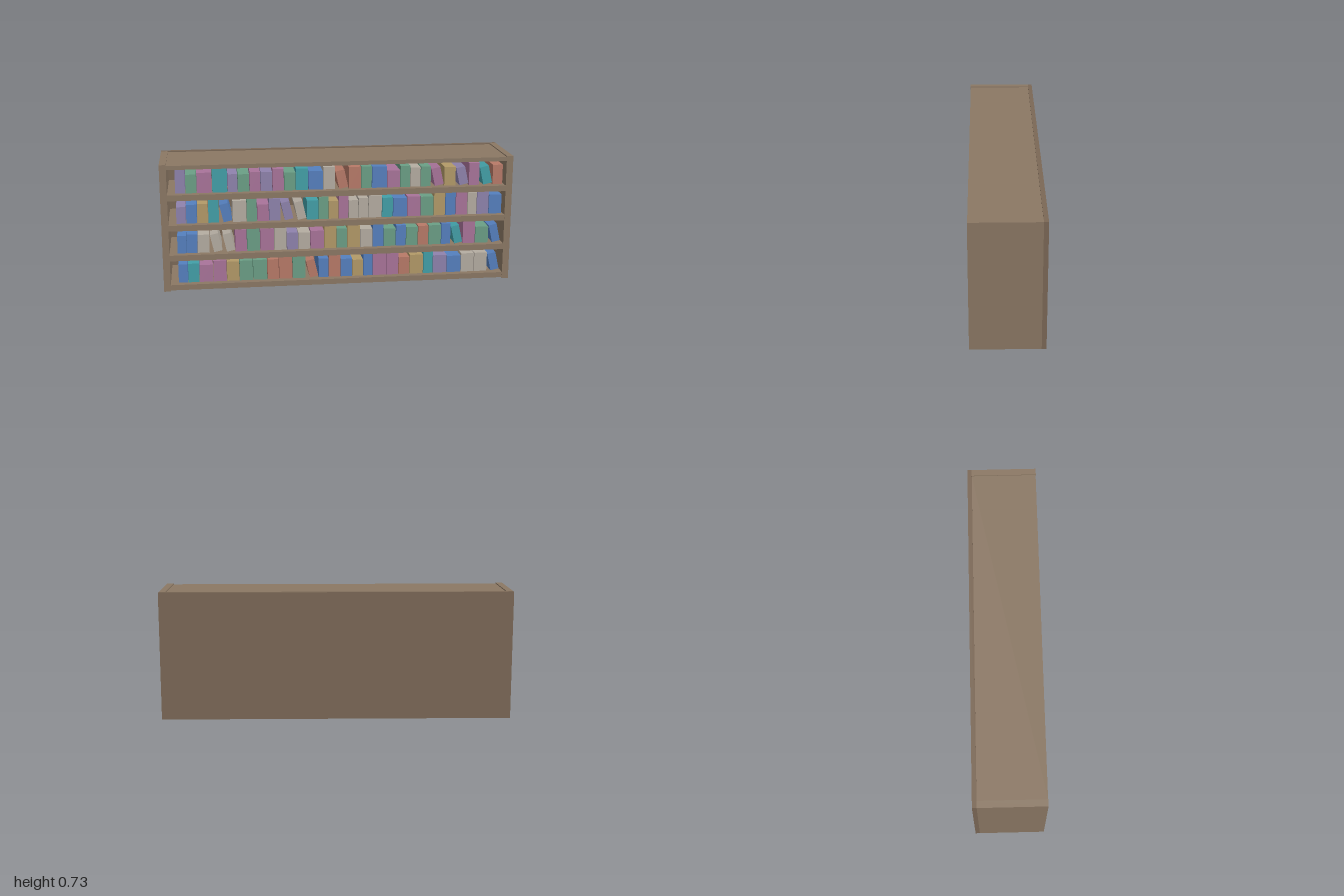
import * as THREE from 'three';

const LEAN = 0.22; // tilt of a leaning book
const BOOK_FRONT = 0.16, BOOK_DEPTH = 0.24, BOOK_GAP = 0.003;
const ROW_START = -0.917, ROW_END = 0.955;
const SHELF_PITCH = 0.1743, FIRST_FLOOR = 0.037;

const wood = new THREE.MeshStandardMaterial({ color: 0x8b7864 });
const backWood = new THREE.MeshStandardMaterial({ color: 0x7b6856 });
const covers = {};
for (const [key, color] of Object.entries({
  u: 0x8f83ad, g: 0x6b9f86, p: 0xa9749a, t: 0x42a0a8,
  b: 0x5580bf, c: 0xb5ada2, r: 0xb87a68, y: 0xb39a68,
})) covers[key] = new THREE.MeshStandardMaterial({ color });

// Cover colours of each row from the bottom up; a capital marks a leaning book
const rows = [
  'btppyggrrgRbrbybpprytubccB',
  'bbcCCpgpcucpygycbgbgrgbTpgB',
  'ubytBcgpuUCtgypccctbpgybpcub',
  'ugptugpupgtbcRrgbpgcgPyUpTr',
];

// Small seeded generator for the varied book sizes
function seeded(seed) {
  let state = seed;
  return (min, max) => {
    state = (state * 16807) % 2147483647;
    return min + (max - min) * (state / 2147483647);
  };
}

// Box given by its minimum and maximum corners
function board(name, min, max, material = wood) {
  const size = max.map((v, i) => v - min[i]);
  const mesh = new THREE.Mesh(new THREE.BoxGeometry(...size), material);
  mesh.position.set(...min.map((v, i) => v + size[i] / 2));
  mesh.name = name;
  return mesh;
}

// Book filling a slot of the given span and height, upright or leaning to -x
function book(material, leaning, x, floor, span, height) {
  const a = leaning ? LEAN : 0;
  const c = Math.cos(a), s = Math.sin(a), k = Math.cos(2 * a);
  const w = (span * c - height * s) / k;
  const h = (height * c - span * s) / k;
  const mesh = new THREE.Mesh(new THREE.BoxGeometry(w, h, BOOK_DEPTH), material);
  mesh.position.set(x + span / 2, floor + height / 2, BOOK_FRONT - BOOK_DEPTH / 2);
  mesh.rotation.z = a;
  mesh.name = leaning ? 'leaningBook' : 'book';
  return mesh;
}

// Row of books packed from -x to +x
function bookRow(letters, floor, seed) {
  const row = new THREE.Group();
  row.name = 'bookRow';
  const vary = seeded(seed);
  const books = [...letters].map((letter) => {
    const leaning = letter !== letter.toLowerCase();
    return {
      leaning,
      material: covers[letter.toLowerCase()],
      share: leaning ? 1.05 : vary(0.78, 1.2),
      height: leaning ? 0.112 : vary(0.095, 0.143),
    };
  });
  const unit = (ROW_END - ROW_START) / books.reduce((sum, b) => sum + b.share, 0);
  let x = ROW_START;
  for (const { material, leaning, share, height } of books) {
    row.add(book(material, leaning, x, floor, share * unit - BOOK_GAP, height));
    x += share * unit;
  }
  return row;
}

export function createModel() {
  const group = new THREE.Group();
  group.name = 'bookcase';

  // Case: full-height sides and back, with slightly recessed top and bottom
  group.add(
    board('rightSide', [-1, 0, -0.175], [-0.962, 0.733, 0.2]),
    board('leftSide', [0.962, 0, -0.175], [1, 0.733, 0.2]),
    board('backPanel', [-1, 0, -0.2], [1, 0.733, -0.175], backWood),
    board('topPanel', [-0.962, 0.704, -0.175], [0.962, 0.727, 0.199]),
    board('bottomPanel', [-0.962, 0.006, -0.175], [0.962, FIRST_FLOOR, 0.199]),
  );

  // Shelves between the rows, and the books standing on each
  rows.forEach((letters, i) => {
    const floor = FIRST_FLOOR + i * SHELF_PITCH;
    if (i > 0) group.add(board('shelf', [-0.962, floor - 0.033, -0.175], [0.962, floor, 0.199]));
    group.add(bookRow(letters, floor, 101 + i * 37));
  });
  return group;
}
